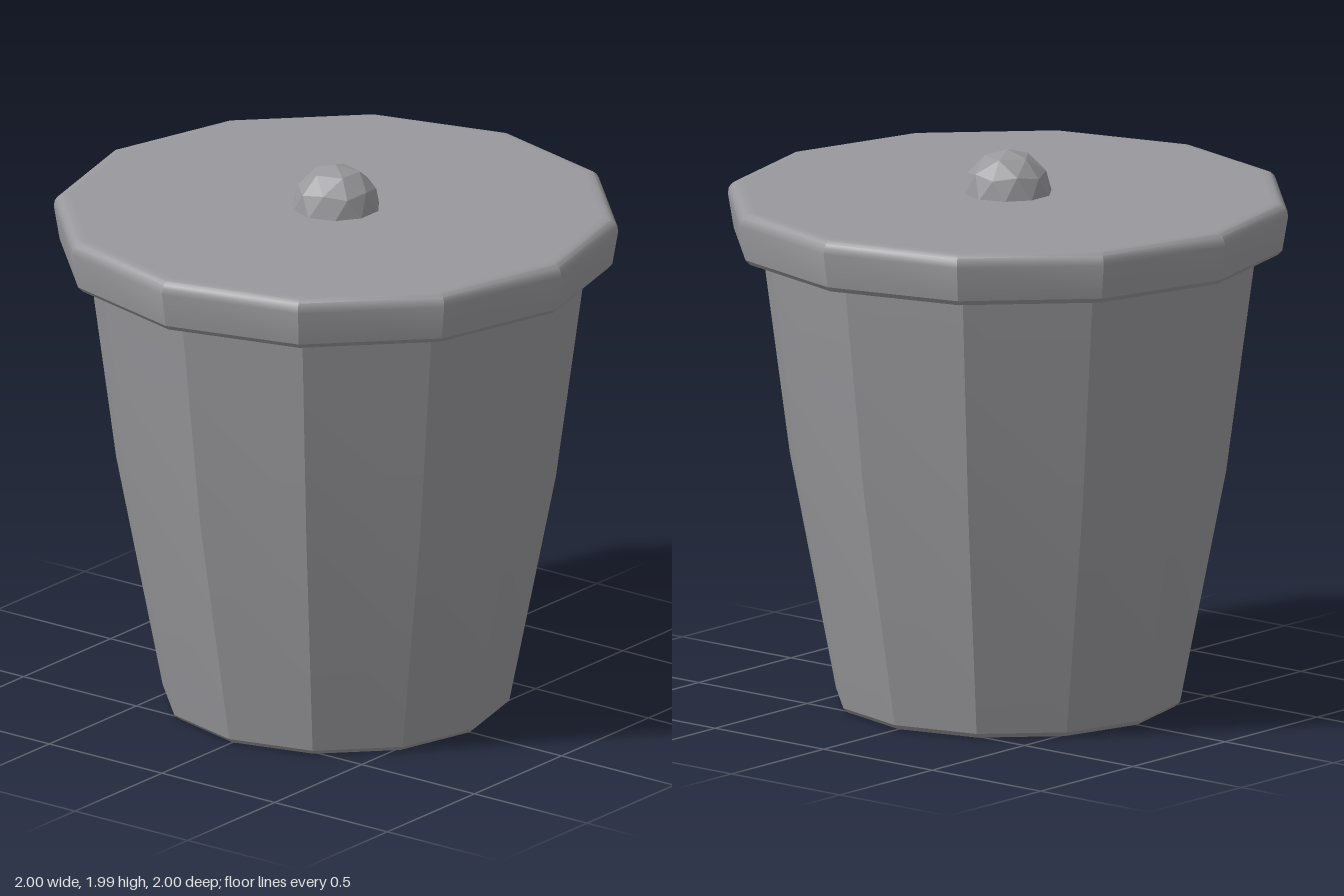
import * as THREE from 'three';
import { toCreasedNormals } from 'three/addons/utils/BufferGeometryUtils.js';

const color = 0x99989c;

// Twelve-sided solid turned from a profile listed bottom to top;
// gentle bends are smooth while the sides stay sharp
function turned(name, profile) {
  const points = profile.map(([r, y]) => new THREE.Vector2(r, y));
  const geometry = toCreasedNormals(new THREE.LatheGeometry(points, 12), 0.44);
  const mesh = new THREE.Mesh(geometry, new THREE.MeshStandardMaterial({ color }));
  mesh.name = name;
  return mesh;
}

export function createModel() {
  const group = new THREE.Group();
  group.name = 'lidded bin';

  // Tapered body with a small bevel at the foot and a slight bend halfway up
  group.add(turned('body', [
    [0, 0], [0.594, 0], [0.614, 0.018], [0.779, 0.86], [0.886, 1.66],
  ]));

  // Overhanging lid with a beveled lower and a rounded upper edge
  group.add(turned('lid', [
    [0, 1.644], [0.962, 1.644], [0.979, 1.662], [1, 1.785], [0.997, 1.805],
    [0.989, 1.818], [0.977, 1.828], [0.963, 1.832], [0.94, 1.832], [0, 1.832],
  ]));

  // Faceted knob, turned so that one vertex points straight up
  const phi = (1 + Math.sqrt(5)) / 2;
  const ball = new THREE.IcosahedronGeometry(0.158, 1);
  ball.rotateZ(Math.atan(1 / phi));
  const knob = new THREE.Mesh(ball, new THREE.MeshStandardMaterial({ color, flatShading: true }));
  knob.name = 'knob';
  knob.position.y = 1.828;
  group.add(knob);

  return group;
}
